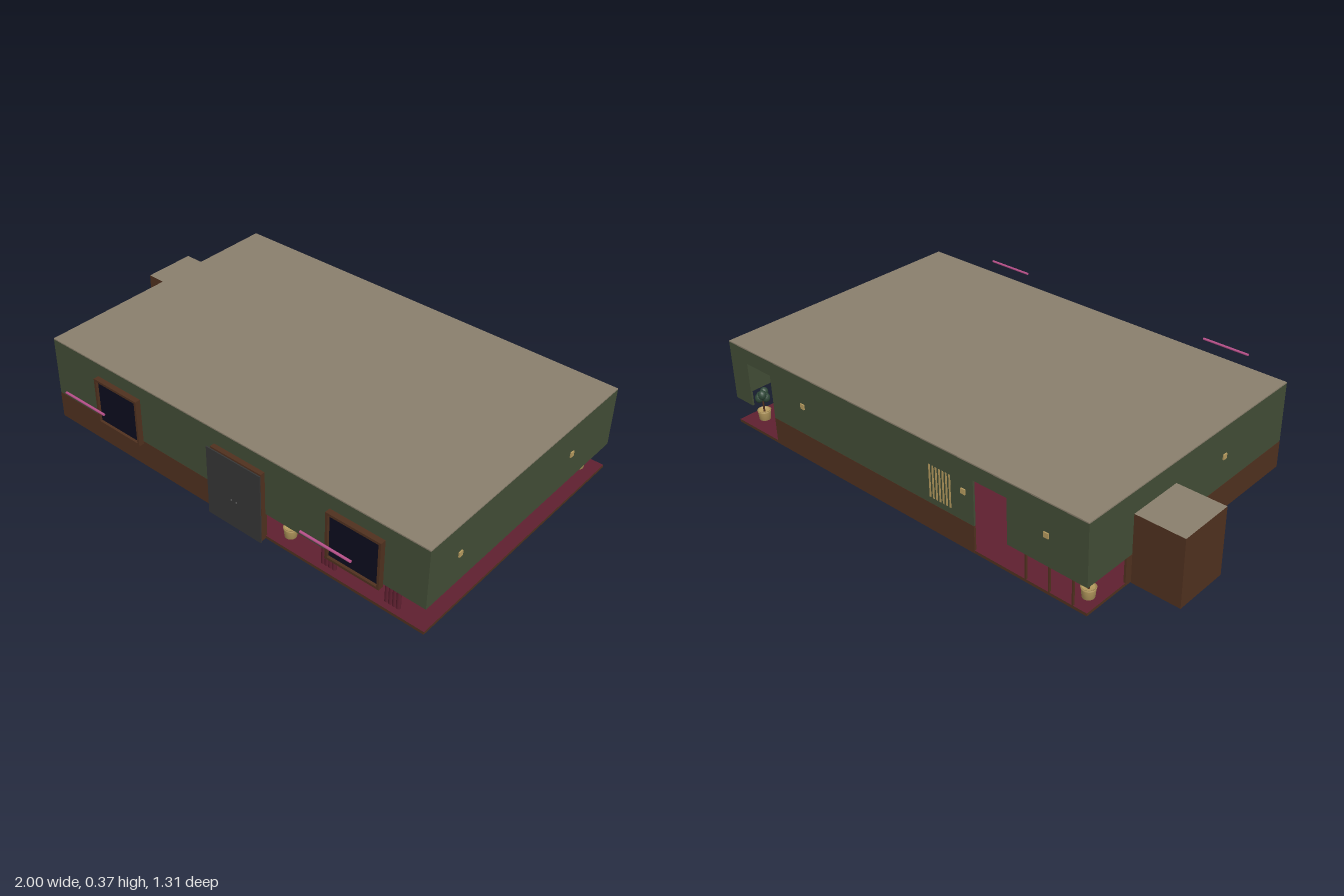
import * as THREE from 'three';

const mat = (name, color) => {
  const m = new THREE.MeshStandardMaterial({ color });
  m.name = name;
  return m;
};

export function createModel() {
  const green = mat('olive green', 0x424d36);
  const brown = mat('dark wood', 0x50311f);
  const beige = mat('roof beige', 0x8a7f6d);
  const red = mat('burgundy', 0x5f2030);
  const navy = mat('window navy', 0x0c0c1e);
  const grey = mat('door grey', 0x363636);
  const gold = mat('brass', 0xb59a5e);
  const pink = mat('neon pink', 0xb8508a);
  const leaf = mat('foliage green', 0x2f4838);
  const pale = mat('pale panel', 0xb5a78e);

  const root = new THREE.Group();
  root.name = 'building';
  const add = (name, geo, material, x = 0, y = 0, z = 0, parent = root) => {
    const m = new THREE.Mesh(geo, material);
    m.name = name;
    m.position.set(x, y, z);
    parent.add(m);
    return m;
  };
  // Box given by its two extents on each axis
  const box = (name, material, [x0, x1], [y0, y1], [z0, z1], parent = root) =>
    add(name, new THREE.BoxGeometry(x1 - x0, y1 - y0, z1 - z0), material,
      (x0 + x1) / 2, (y0 + y1) / 2, (z0 + z1) / 2, parent);
  const group = (name, x, y, z, ry = 0) => {
    const g = new THREE.Group();
    g.name = name;
    g.position.set(x, y, z);
    g.rotation.y = ry;
    root.add(g);
    return g;
  };

  const X0 = -0.8, X1 = 0.99, Z0 = -0.65, Z1 = 0.49, T = 0.008;
  const LOW = [0.022, 0.124], UP = [0.124, 0.372];
  const backZ = [Z0, Z0 + T], frontZ = [Z1 - T, Z1];

  // Floor with wooden edges, and flat roof
  box('floor', [brown, brown, red, red, brown, brown], [X0, X1], [0.01, 0.022], [Z0, Z1]);
  box('roof', beige, [X0, X1], [0.372, 0.377], [Z0, Z1]);

  // Upper walls; the back and front leave door openings
  const DOOR_TOP = 0.31;
  [[X0, -0.46], [-0.31, 0.75], [0.89, X1]].forEach(s => box('upperBackWall', green, s, UP, backZ));
  [[-0.46, -0.31], [0.75, 0.89]].forEach(s => box('backLintel', green, s, [DOOR_TOP, 0.372], backZ));
  [[X0, 0.06], [0.3, X1]].forEach(s => box('upperFrontWall', green, s, UP, frontZ));
  box('frontLintel', green, [0.06, 0.3], [DOOR_TOP, 0.372], frontZ);
  box('upperRightWall', green, [X0, X0 + T], UP, [Z0 + T, Z1 - T]);
  box('upperLeftWall', green, [X1 - T, X1], UP, [Z0 + T, Z1 - T]);

  // Lower panelling, open at the left side and two back corners
  box('lowerFrontWall', brown, [X0, 0.06], [0.01, 0.124], [Z1 - T, Z1 + 0.0005]);
  box('lowerBackWall', brown, [-0.31, 0.75], [0.01, 0.124], [Z0 - 0.0005, Z0 + T]);
  box('lowerRightWall', brown, [X0 - 0.0005, X0 + T], [0.01, 0.124], [-0.45, Z1 - T]);
  [-0.54, -0.64, -0.74].forEach(x => box('openingPost', brown, [x - 0.003, x + 0.003], LOW, backZ));

  // Side annex with its inner wall panel
  box('annex', [brown, brown, beige, brown, brown, brown], [-1, X0], [0.006, 0.285], [-0.42, -0.19]);
  box('annexPanel', beige, [X0 + T, X0 + T + 0.004], [0.022, 0.25], [-0.36, -0.2]);
  box('annexTrim', gold, [X0 + T, X0 + T + 0.006], [0.022, 0.25], [-0.2, -0.19]);

  // Front door in its frame
  box('frontDoor', grey, [0.05, 0.305], [0.01, 0.31], [0.516, 0.521]);
  box('doorFrameTop', brown, [0.06, 0.3], [0.3, 0.31], [Z1 - T, 0.51]);
  box('doorSill', brown, [0.06, 0.3], [0.01, 0.022], [Z1, 0.51]);
  [[0.06, 0.072], [0.288, 0.3]].forEach(s => box('doorFrameSide', brown, s, [0.01, 0.31], [Z1 - T, 0.51]));
  [-1, 1].forEach(s => add('doorHandle', new THREE.SphereGeometry(0.005, 10, 8), grey, 0.178 + s * 0.012, 0.13, 0.521));

  // Windows with frames, curtains inside and neon tubes in front
  for (const cx of [-0.435, 0.703]) {
    const w = 0.115;
    box('windowGlass', navy, [cx - w + 0.01, cx + w - 0.01], [0.12, 0.305], [Z1, 0.502]);
    [[0.112, 0.122], [0.305, 0.315]].forEach(y => box('windowRail', brown, [cx - w, cx + w], y, [Z1, 0.513]));
    for (const s of [-1, 1]) {
      const fx = cx + s * (w - 0.005);
      box('windowStile', brown, [fx - 0.005, fx + 0.005], [0.112, 0.315], [Z1, 0.513]);
      for (let i = 0; i < 4; i++) {
        add('curtainFold', new THREE.CylinderGeometry(0.009, 0.009, 0.3, 10), red,
          cx + s * 0.137 + (i - 1.5) * 0.016, 0.175, 0.46);
      }
    }
    const tube = add('neonTube', new THREE.CylinderGeometry(0.005, 0.005, 0.208, 10), pink, cx, 0.33, 0.65);
    tube.rotation.z = Math.PI / 2;
  }

  // Wall lamps
  const lamp = (x, z, alongX) => {
    const [w, d] = alongX ? [0.02, 0.01] : [0.01, 0.02];
    box('wallLamp', gold, [x - w / 2, x + w / 2], [0.237, 0.258], [z - d / 2, z + d / 2]);
  };
  [-0.63, -0.265, 0.565].forEach(x => lamp(x, Z0, true));
  [0.32, -0.36].forEach(z => lamp(X1, z, false));
  lamp(X0, 0.1, false);

  // Slatted vent on the back wall
  for (let i = 0; i < 7; i++) {
    const x = -0.205 + i * 0.016;
    box('ventSlat', gold, [x, x + 0.008], [0.15, 0.285], [Z0 - 0.001, Z0]);
  }

  // Potted plants
  const potProfile = [[0, 0], [0.021, 0], [0.026, 0.052], [0.028, 0.058], [0.023, 0.058], [0.022, 0.05], [0, 0.05]]
    .map(p => new THREE.Vector2(...p));
  for (const [x, z] of [[0.365, 0.43], [-0.01, 0.43], [0.92, -0.58], [-0.75, -0.58]]) {
    const g = group('pottedPlant', x, 0.004, z);
    add('pot', new THREE.LatheGeometry(potProfile, 20), gold, 0, 0, 0, g);
    add('stem', new THREE.CylinderGeometry(0.003, 0.004, 0.07, 8), brown, 0, 0.085, 0, g);
    for (let i = 0; i < 5; i++) {
      const a = i * 1.257;
      const l = add('leaves', new THREE.SphereGeometry(0.017, 10, 8), leaf,
        Math.cos(a) * 0.014, 0.115 + (i % 2) * 0.018, Math.sin(a) * 0.014, g);
      l.scale.y = 1.2;
    }
  }

  // Armchairs
  for (const [x, z, s, ry] of [[-0.25, 0.113, 1, Math.PI / 2], [-0.3, -0.06, 0.65, -Math.PI / 2]]) {
    const g = group('armchair', x, 0.022, z, ry);
    g.scale.set(s, 1, s);
    box('seat', leaf, [-0.04, 0.04], [0.015, 0.045], [-0.04, 0.04], g);
    box('backrest', leaf, [-0.045, 0.045], [0.03, 0.115], [-0.055, -0.035], g);
    for (const k of [-1, 1]) {
      box('armrest', leaf, [k * 0.044 - 0.006, k * 0.044 + 0.006], [0.015, 0.06], [-0.04, 0.04], g);
      for (const d of [-1, 1]) {
        add('chairLeg', new THREE.CylinderGeometry(0.003, 0.003, 0.015, 8), brown, k * 0.035, 0.0075, d * 0.03, g);
      }
    }
  }

  // Pale cabinet and brass barrier posts
  box('cabinet', pale, [0.43, 0.49], [0.042, 0.16], [-0.025, 0.022]);
  box('cabinetPlinth', brown, [0.435, 0.485], LOW, [-0.02, 0.017]);
  for (const x of [0.03, 0.27]) {
    add('barrierBase', new THREE.CylinderGeometry(0.016, 0.018, 0.006, 16), gold, x, 0.025, 0.37);
    add('barrierPost', new THREE.CylinderGeometry(0.004, 0.004, 0.075, 10), gold, x, 0.062, 0.37);
  }
  return root;
}
